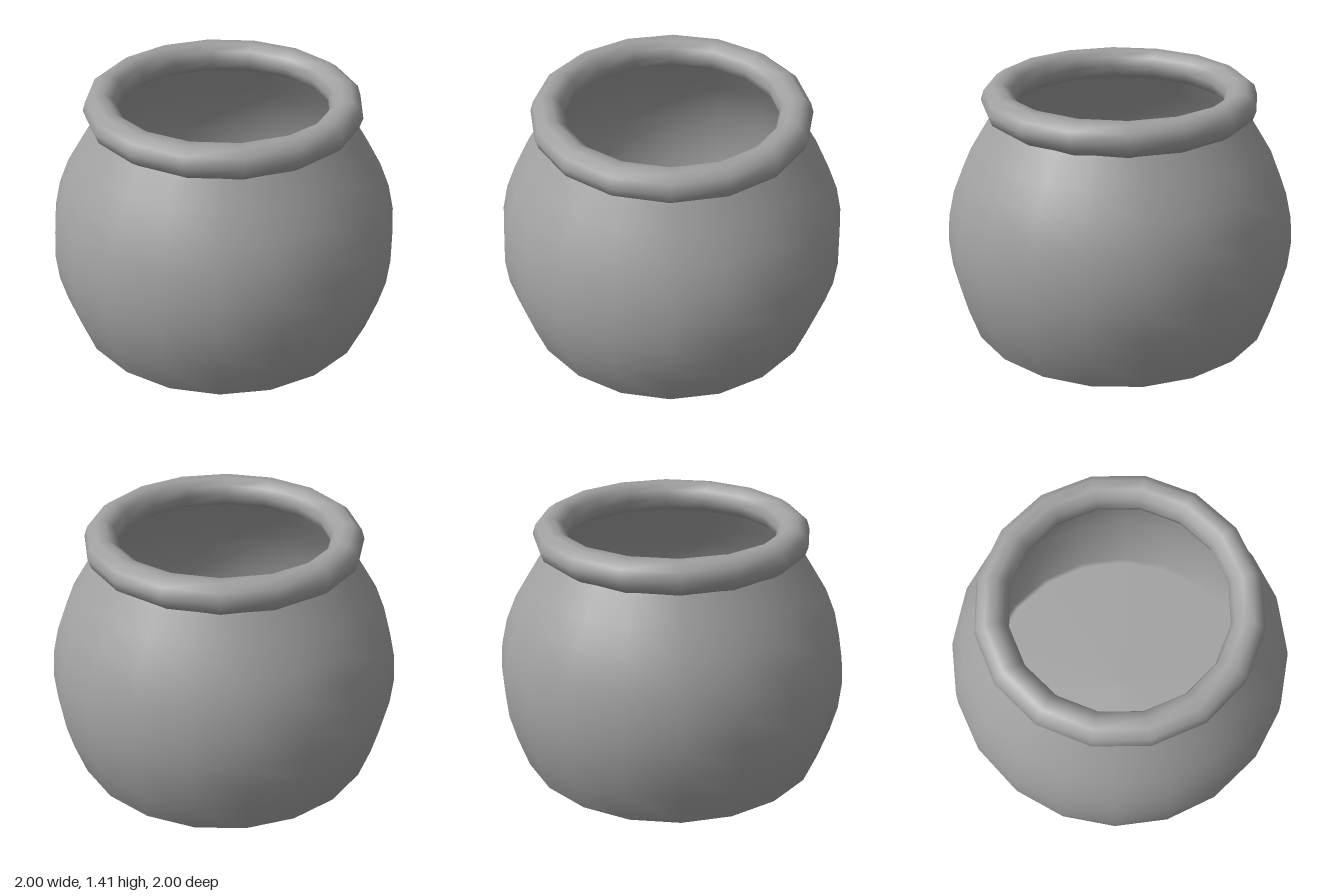
import * as THREE from 'three';

export function createModel() {
  const group = new THREE.Group();
  const clay = new THREE.MeshStandardMaterial({ color: 0xa0a0a0, side: THREE.DoubleSide });
  clay.name = 'greyClay';

  // Pot body: flat floor, then a unit sphere wall centred at y = 0.5, open at the neck
  const profile = [[0, 0], [0.86, 0], [0.89, 0]];
  for (let deg = -18; deg <= 36; deg += 9) {
    const a = THREE.MathUtils.degToRad(deg);
    profile.push([Math.cos(a), 0.5 + Math.sin(a)]);
  }
  profile.push([0.72, 1.23], [0.68, 1.29]);
  const body = new THREE.Mesh(
    new THREE.LatheGeometry(profile.map(([r, y]) => new THREE.Vector2(r, y)), 20), clay);
  body.name = 'potBody';

  // Rolled rim
  const rim = new THREE.Mesh(new THREE.TorusGeometry(0.68, 0.092, 10, 16), clay);
  rim.name = 'rim';
  rim.rotation.x = -Math.PI / 2;
  rim.position.y = 1.326;

  group.add(body, rim);
  return group;
}
